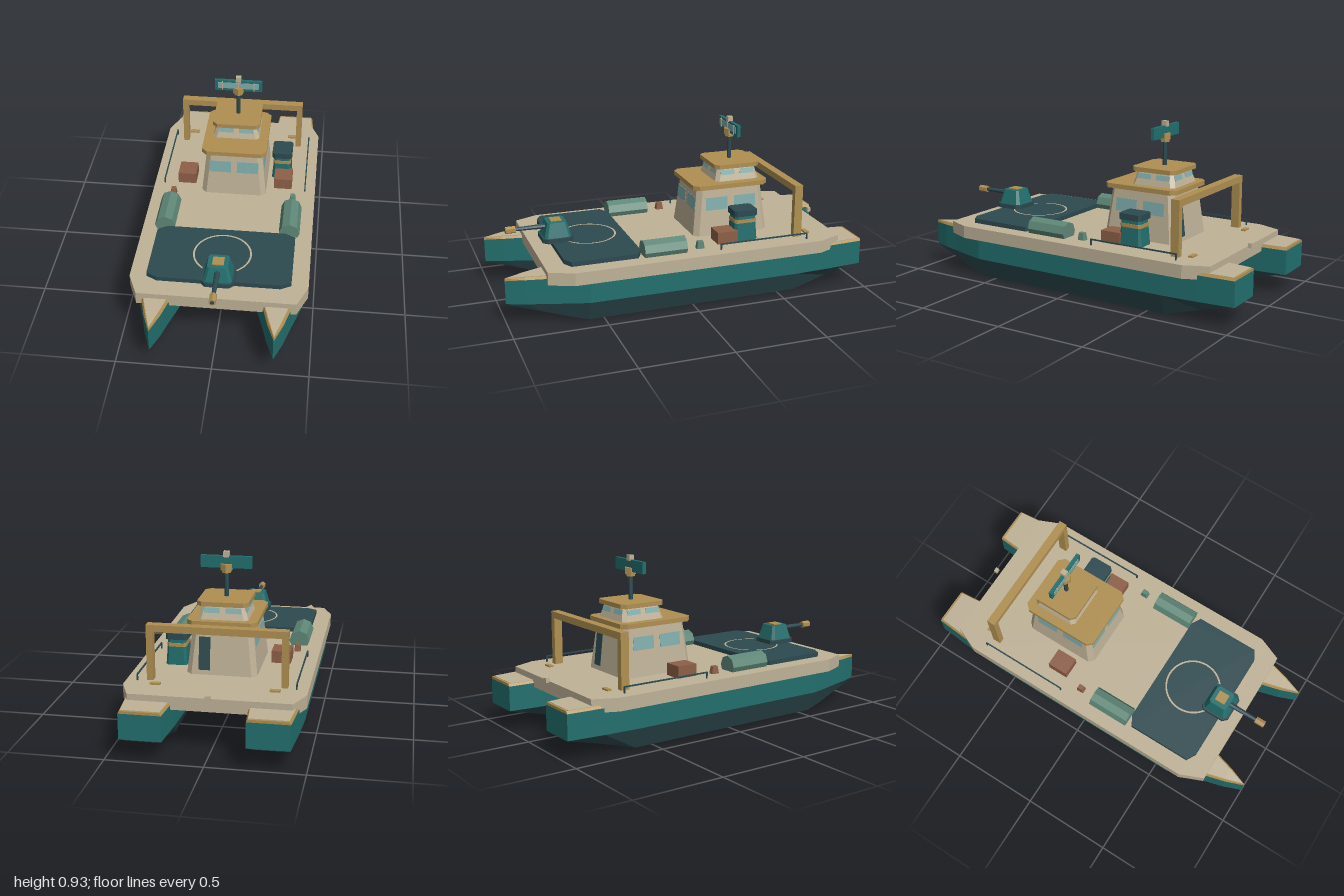
import * as THREE from 'three';

const mat = (name, color) => {
  const m = new THREE.MeshStandardMaterial({ color });
  m.name = name;
  m.flatShading = true;
  return m;
};

export function createModel() {
  const root = new THREE.Group();
  root.name = 'patrolCatamaran';
  const teal = mat('teal', 0x226f6d), dark = mat('darkSlate', 0x2d4a50), beige = mat('beige', 0xbfb297);
  const gold = mat('gold', 0xb09052), rust = mat('rust', 0x8e6048), green = mat('sageGreen', 0x5e8777);
  const glass = mat('glass', 0x80acac);
  glass.side = THREE.DoubleSide;

  const add = (name, geo, material, x = 0, y = 0, z = 0, parent = root) => {
    const m = new THREE.Mesh(geo, material);
    m.name = name;
    m.position.set(x, y, z);
    parent.add(m);
    return m;
  };
  const box = (name, material, w, h, d, x, y, z, parent) =>
    add(name, new THREE.BoxGeometry(w, h, d), material, x, y, z, parent);

  // Closed faceted solid through convex rings of equal point count
  const loft = rings => {
    const v = [], tri = (a, b, c) => v.push(...a, ...b, ...c), n = rings[0].length;
    for (let i = 0; i < rings.length - 1; i++) for (let j = 0; j < n; j++) {
      const k = (j + 1) % n, a = rings[i], b = rings[i + 1];
      tri(a[j], a[k], b[k]);
      tri(a[j], b[k], b[j]);
    }
    const first = rings[0], last = rings[rings.length - 1];
    for (let j = 1; j < n - 1; j++) {
      tri(first[0], first[j + 1], first[j]);
      tri(last[0], last[j], last[j + 1]);
    }
    const g = new THREE.BufferGeometry();
    g.setAttribute('position', new THREE.Float32BufferAttribute(v, 3));
    g.computeVertexNormals();
    return g;
  };
  // Horizontal rectangle with cut corners
  const ring = (y, hx, hz, cx, cz = cx) => [
    [hx, y, hz - cz], [hx, y, cz - hz], [hx - cx, y, -hz], [cx - hx, y, -hz],
    [-hx, y, cz - hz], [-hx, y, hz - cz], [cx - hx, y, hz], [hx - cx, y, hz]];
  const slab = (name, material, y0, y1, hx, hz, cx, cz, x, z, parent) =>
    add(name, loft([ring(y0, hx, hz, cx, cz), ring(y1, hx, hz, cx, cz)]), material, x, 0, z, parent);

  // Twin hulls: [z, half width, keel height, rim height]
  const stations = [[-1, 0.108, 0.112, 0.264], [-0.8, 0.125, 0.058, 0.266], [-0.6, 0.135, 0, 0.268],
    [0.58, 0.135, 0, 0.268], [0.68, 0.108, 0.024, 0.268], [0.8, 0.07, 0.058, 0.268],
    [0.9, 0.042, 0.086, 0.264], [1, 0.003, 0.112, 0.257]];
  const section = (z, w0, y0, w1, y1) => [[-w0, y0, z], [w0, y0, z], [w1, y1, z], [-w1, y1, z]];
  for (const s of [1, -1]) {
    const hull = new THREE.Group();
    hull.name = s > 0 ? 'leftHull' : 'rightHull';
    hull.position.x = s * 0.315;
    root.add(hull);
    const part = (name, material, fn) => add(name, loft(stations.map(fn)), material, 0, 0, 0, hull);
    part('hullBottom', dark, ([z, w, k]) => section(z, w * 0.62, k, w, 0.115));
    part('hullSide', teal, ([z, w, k, t]) => section(z, w, 0.115, w, t - 0.014));
    part('hullRim', gold, ([z, w, k, t]) => section(z, w, t - 0.014, Math.max(w - 0.008, 0.001), t));
    part('hullTop', beige, ([z, w, k, t]) =>
      section(z - Math.sign(z) * 0.012, Math.max(w - 0.009, 0.0008), t - 0.002, Math.max(w - 0.009, 0.0008), t + 0.002));
  }

  // Main deck and forward landing pad
  slab('deck', beige, 0.23, 0.3, 0.47, 0.828, 0.055, 0.13, 0, -0.033);
  slab('landingPad', dark, 0.3, 0.325, 0.38, 0.21, 0.055, 0.03, 0, 0.48);
  const circle = new THREE.RingGeometry(0.148, 0.158, 40);
  circle.rotateX(-Math.PI / 2);
  add('padCircle', circle, beige, 0, 0.327, 0.475);

  // Deck gun
  const gun = new THREE.Group();
  gun.name = 'deckGun';
  gun.position.z = 0.655;
  root.add(gun);
  slab('gunBase', dark, 0.325, 0.349, 0.088, 0.085, 0.025, 0.025, 0, 0, gun);
  add('turret', loft([ring(0.345, 0.077, 0.075, 0.016), ring(0.43, 0.055, 0.053, 0.012)]), teal, 0, 0, 0, gun);
  box('turretHatch', gold, 0.06, 0.008, 0.06, 0, 0.432, 0, gun);
  const rod = (name, material, r0, r1, length, sides, z) => {
    const g = new THREE.CylinderGeometry(r1, r0, length, sides);
    g.rotateX(Math.PI / 2);
    return add(name, g, material, 0, 0.4, z, gun);
  };
  rod('barrel', dark, 0.016, 0.01, 0.2, 8, 0.135);
  rod('muzzle', gold, 0.02, 0.02, 0.055, 6, 0.247);
  rod('muzzleBore', dark, 0.011, 0.011, 0.004, 8, 0.275);

  // Two-tier wheelhouse
  const tier = (name, z, y0, y1, bx, bz, tx, tz, chamfer) => {
    const g = new THREE.Group();
    g.name = name;
    g.position.z = z;
    root.add(g);
    add(name + 'Walls', loft([ring(y0, bx, bz, chamfer), ring(y1, tx, tz, chamfer)]), beige, 0, 0, 0, g);
    // Thin panel lying on one sloping wall; turn counts quarter turns from the front
    const panel = (label, material, turn, x0, x1, ya, yb) => {
      const depth = y => {
        const t = (y - y0) / (y1 - y0);
        return (turn % 2 ? bx + (tx - bx) * t : bz + (tz - bz) * t) + 0.002;
      };
      const outer = section(0, 1, 1, 1, 1) && [[x0, ya], [x1, ya], [x1, yb], [x0, yb]];
      const rings = [-0.004, 0].map(o => outer.map(([x, y]) => [x, y, depth(y) + o]));
      const geo = loft(rings);
      geo.rotateY(turn * Math.PI / 2);
      add(label, geo, material, 0, 0, 0, g);
    };
    return { g, panel };
  };
  const lower = tier('lowerCabin', -0.31, 0.3, 0.568, 0.186, 0.22, 0.157, 0.19, 0.027);
  const upper = tier('upperCabin', -0.365, 0.585, 0.665, 0.135, 0.131, 0.11, 0.108, 0.02);
  for (const s of [1, -1]) {
    const span = (a, b) => s > 0 ? [a, b] : [-b, -a];
    lower.panel('frontWindow', glass, 0, ...span(0.017, 0.14), 0.442, 0.512);
    for (const turn of [1, 3]) lower.panel('sideWindow', glass, turn, ...span(0.02, 0.148), 0.442, 0.512);
    for (const turn of [0, 1, 2, 3]) upper.panel('bridgeWindow', glass, turn, ...span(0.016, 0.098), 0.624, 0.65);
  }
  lower.panel('rearDoor', dark, 2, -0.12, -0.06, 0.325, 0.5);
  slab('lowerRoof', gold, 0.565, 0.59, 0.184, 0.22, 0.03, 0.03, 0, -0.31);
  slab('upperRoof', gold, 0.661, 0.685, 0.135, 0.133, 0.025, 0.025, 0, -0.365);

  // Mast and radar
  const mast = new THREE.Group();
  mast.name = 'mast';
  mast.position.z = -0.365;
  root.add(mast);
  add('mastPole', new THREE.CylinderGeometry(0.012, 0.012, 0.14, 8), dark, 0, 0.753, 0, mast);
  add('mastCollar', new THREE.CylinderGeometry(0.026, 0.026, 0.046, 6), gold, 0, 0.835, 0, mast);
  add('mastRim', new THREE.CylinderGeometry(0.034, 0.034, 0.034, 6), gold, 0, 0.842, 0, mast);
  box('radarPanel', teal, 0.27, 0.064, 0.02, 0, 0.869, 0, mast);
  box('radarFace', glass, 0.232, 0.036, 0.004, 0, 0.871, 0.011, mast);
  for (const x of [-0.09, 0, 0.09]) box('radarRib', beige, 0.005, 0.052, 0.006, x, 0.87, 0.013, mast);
  box('mastLight', beige, 0.03, 0.03, 0.03, 0, 0.91, 0, mast);

  // Funnel
  const funnel = new THREE.Group();
  funnel.name = 'funnel';
  funnel.position.set(0.267, 0, -0.34);
  root.add(funnel);
  add('funnelBody', loft([ring(0.3, 0.057, 0.068, 0.012), ring(0.445, 0.047, 0.058, 0.012)]), teal, 0, 0, 0, funnel);
  slab('funnelBand', gold, 0.4, 0.42, 0.052, 0.063, 0.012, 0.012, 0, 0, funnel);
  slab('funnelCap', dark, 0.44, 0.473, 0.058, 0.067, 0.012, 0.012, 0, 0, funnel);

  // Stern gantry
  box('gantryBeam', gold, 0.728, 0.037, 0.047, 0, 0.578, -0.633);

  // Mirrored deck fittings
  for (const s of [1, -1]) {
    box('gantryPost', gold, 0.033, 0.26, 0.047, s * 0.3475, 0.43, -0.633);
    box('deckCleat', gold, 0.053, 0.01, 0.025, s * 0.307, 0.304, -0.708);
    box('crate', rust, 0.104, 0.066, 0.117, s * 0.281, 0.333, -0.228);
    const canister = new THREE.CylinderGeometry(0.057, 0.057, 0.237, 8);
    canister.rotateX(Math.PI / 2);
    add('raftCanister', canister, green, s * 0.344, 0.327, 0.148);
    add('sideLight', loft([ring(0.3, 0.017, 0.022, 0.003), ring(0.34, 0.013, 0.016, 0.003)]),
      s > 0 ? green : rust, s * 0.345, 0, -0.06);
    box('handrail', dark, 0.007, 0.007, 0.515, s * 0.411, 0.332, -0.412);
    for (const z of [-0.667, -0.158]) box('railPost', dark, 0.007, 0.036, 0.007, s * 0.411, 0.317, z);
  }
  box('sternLight', beige, 0.025, 0.025, 0.02, 0, 0.313, -0.885);

  return root;
}
